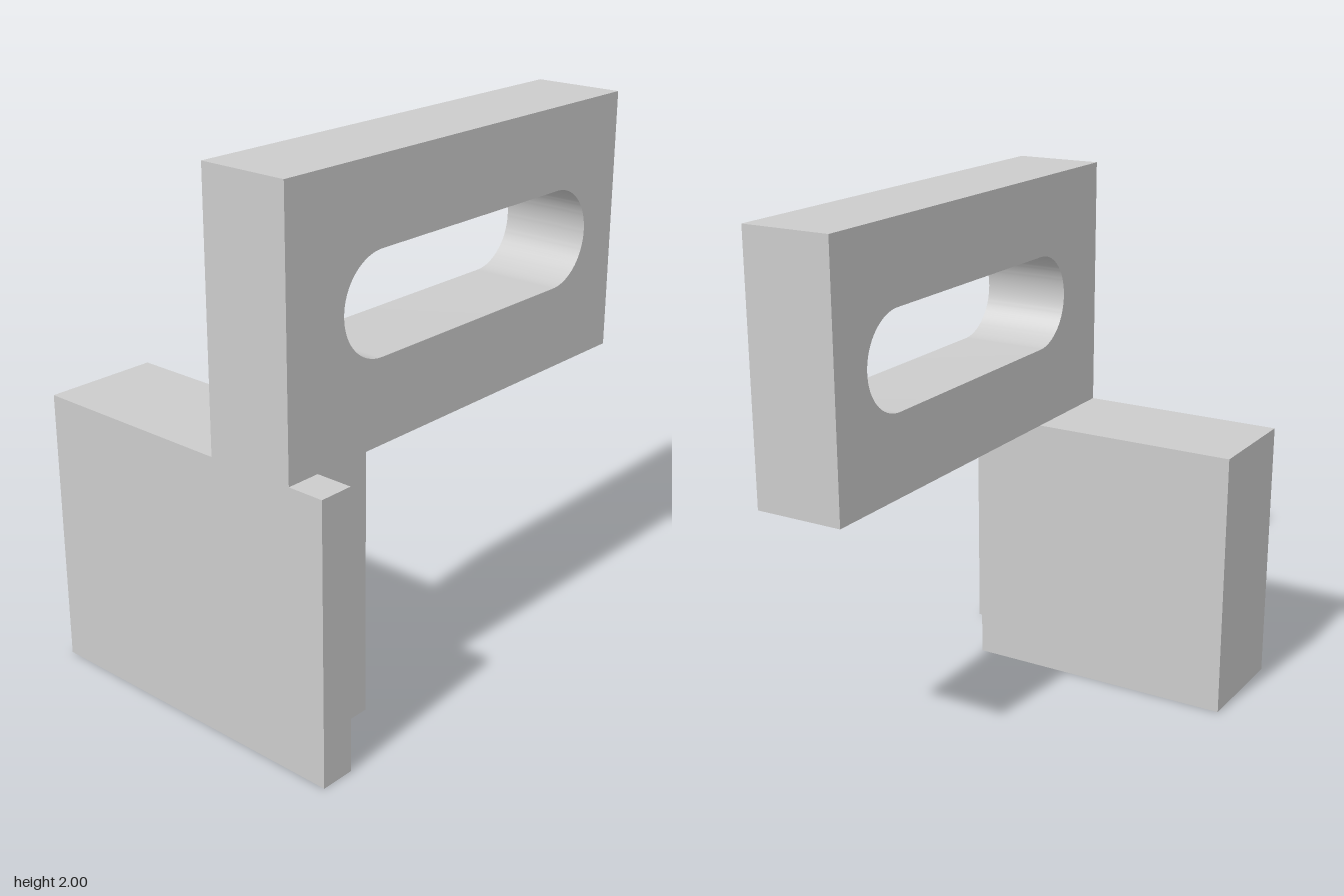
import * as THREE from 'three';
import { toCreasedNormals } from 'three/addons/utils/BufferGeometryUtils.js';

const material = new THREE.MeshStandardMaterial({ color: 0xcccccc });

function extruded(name, shape, depth) {
  const solid = new THREE.ExtrudeGeometry(shape, { depth, bevelEnabled: false, curveSegments: 32 });
  const mesh = new THREE.Mesh(toCreasedNormals(solid, 0.5), material);
  mesh.name = name;
  return mesh;
}

function polygon(points) {
  return new THREE.Shape(points.map(([x, y]) => new THREE.Vector2(x, y)));
}

export function createModel() {
  const group = new THREE.Group();
  group.name = 'slottedBracket';
  const left = 0.865, baseTop = 1.035;

  // Base: L-shaped footprint (x, -z) with a narrow lip at the front corner, raised along y
  const base = extruded('base', polygon([
    [-left, -0.64], [-0.735, -0.64], [-0.735, -0.435],
    [-0.43, -0.435], [-0.43, 0.64], [-left, 0.64],
  ]), baseTop);
  base.rotation.x = -Math.PI / 2;
  group.add(base);

  // Upright plate with a round-ended slot
  const outline = polygon([[-left, baseTop], [left, baseTop], [left, 2], [-left, 2]]);
  const r = 0.18, slotY = 1.52, x0 = -0.61 + r, x1 = 0.69 - r;
  const slot = new THREE.Path();
  slot.absarc(x1, slotY, r, -Math.PI / 2, Math.PI / 2, false);
  slot.absarc(x0, slotY, r, Math.PI / 2, Math.PI * 1.5, false);
  slot.closePath();
  outline.holes.push(slot);
  const plate = extruded('slottedPlate', outline, 0.342);
  plate.position.z = 0.16;
  group.add(plate);

  return group;
}
